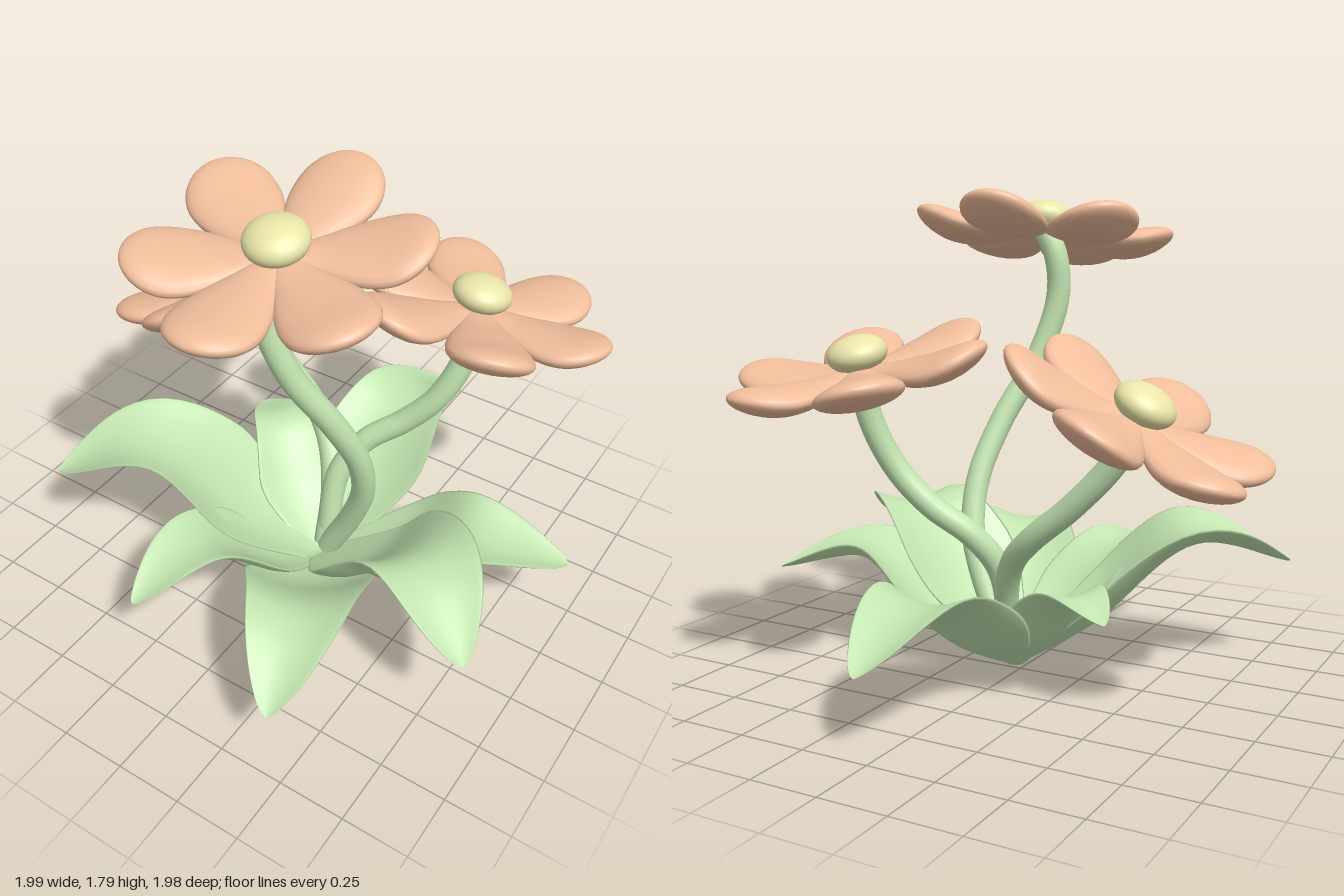
import * as THREE from 'three';

const V = (x, y, z) => new THREE.Vector3(x, y, z);
const Y = V(0, 1, 0);
const green = new THREE.MeshStandardMaterial({ color: 0xc3e6b1 });
const coral = new THREE.MeshStandardMaterial({ color: 0xf0bd9b });
const yellow = new THREE.MeshStandardMaterial({ color: 0xe9e6a9 });

// Closed blade swept along a spine: lens-shaped sections of a given half width and thickness
function blade(points, width, thick, curl, rows = 36, ring = 24) {
  const curve = new THREE.CatmullRomCurve3(points);
  const pos = [], index = [];
  for (let i = 0; i <= rows; i++) {
    const t = Math.sin((i / rows) * Math.PI / 2); // denser rows near the tip
    const p = curve.getPointAt(t), d = curve.getTangentAt(t);
    const side = Y.clone().cross(d).normalize();
    const up = d.clone().cross(side);
    const w = width(t), h = thick(t);
    for (let j = 0; j < ring; j++) {
      const a = (j / ring) * Math.PI * 2, s = Math.cos(a);
      const q = p.clone().addScaledVector(side, w * s)
        .addScaledVector(up, h * Math.sin(a) + curl * w * s * s);
      pos.push(q.x, q.y, q.z);
      if (i < rows) {
        const k = (j + 1) % ring, r = i * ring, n = r + ring;
        index.push(r + j, r + k, n + j, r + k, n + k, n + j);
      }
    }
  }
  const g = new THREE.BufferGeometry();
  g.setAttribute('position', new THREE.Float32BufferAttribute(pos, 3));
  g.setIndex(index);
  g.computeVertexNormals();
  return g;
}

function addMesh(parent, name, geometry, material) {
  const m = new THREE.Mesh(geometry, material);
  m.name = name;
  parent.add(m);
  return m;
}

// Rounded petal outline, widest at two thirds of its length
function petalShape(t) {
  if (t > 0.66) return Math.sqrt(Math.max(0.0004, 1 - ((t - 0.66) / 0.34) ** 2));
  return 0.25 + 0.75 * Math.sin((t / 0.66) * Math.PI / 2) ** 1.3;
}

function makeFlower(center, normal, spin) {
  const flower = new THREE.Group();
  flower.name = 'flower';
  flower.position.copy(center);
  flower.quaternion.setFromUnitVectors(Y, normal.normalize());
  // Plump petal that sags in the middle and lifts at the tip
  const petal = blade(
    [V(0.03, 0, 0), V(0.18, -0.022, 0), V(0.34, -0.015, 0), V(0.498, 0.04, 0)],
    t => 0.156 * petalShape(t), t => 0.053 * petalShape(t), 0);
  for (let i = 0; i < 6; i++) {
    addMesh(flower, 'petal', petal, coral).rotation.y = -(spin + i * Math.PI / 3);
  }
  const dome = addMesh(flower, 'flowerCentre', new THREE.SphereGeometry(0.11, 32, 20), yellow);
  dome.scale.y = 0.6;
  dome.position.y = 0.055;
  return flower;
}

// Leaf outline: narrow root, broad middle, long taper to a rounded tip
function leafShape(t) {
  if (t < 0.45) return 0.26 + 0.74 * Math.sin((t / 0.45) * Math.PI / 2) ** 1.3;
  const u = (t - 0.45) / 0.55;
  return (1 - 0.72 * u ** 1.3) * Math.sqrt(Math.max(0.002, 1 - u ** 6));
}

export function createModel() {
  const model = new THREE.Group();
  model.name = 'floweringPlant';

  // Leaves: [mid x, mid z, mid height, tip x, tip z, tip height, half width]
  const leaves = [
    [0.04, -0.62, 0.395, 0.05, -0.99, 0.27, 0.24],
    [0.66, -0.03, 0.39, 0.99, -0.18, 0.32, 0.24],
    [0.62, 0.29, 0.515, 0.92, 0.53, 0.41, 0.26],
    [0.33, 0.64, 0.4, 0.44, 0.985, 0.3, 0.24],
    [-0.17, 0.56, 0.39, -0.23, 0.865, 0.33, 0.19],
    [-0.57, 0.31, 0.515, -0.87, 0.54, 0.41, 0.28],
    [-0.32, -0.22, 0.37, -0.5, -0.34, 0.34, 0.18],
  ];
  for (const [mx, mz, my, tx, tz, ty, w] of leaves) {
    const root = V(0.04, 0.02, 0.03), mid = V(mx, my, mz);
    const low = root.clone().lerp(mid, 0.45);
    low.y = my * 0.4;
    addMesh(model, 'leaf', blade([root, low, mid, V(tx, ty, tz)],
      t => w * leafShape(t), t => 0.018 * Math.min(1, 0.1 + 4 * (1 - t)), 0.34), green);
  }

  // Stems
  const stems = [
    [V(0.06, 0.08, 0.02), V(0.17, 0.3, 0.03), V(0.24, 0.5, 0.06), V(0.25, 0.7, 0.12),
      V(0.2, 0.92, 0.22), V(0.1, 1.16, 0.33), V(0.035, 1.4, 0.375), V(0.04, 1.56, 0.36), V(0.085, 1.66, 0.35)],
    [V(0.04, 0.08, 0.01), V(0.02, 0.3, -0.07), V(-0.05, 0.46, -0.15), V(-0.16, 0.57, -0.21),
      V(-0.33, 0.71, -0.235), V(-0.49, 0.88, -0.24), V(-0.58, 1.04, -0.25)],
    [V(0.04, 0.08, 0), V(0.05, 0.4, -0.07), V(0.12, 0.54, -0.15), V(0.25, 0.65, -0.22),
      V(0.36, 0.78, -0.27), V(0.43, 0.96, -0.33), V(0.45, 1.17, -0.38)],
  ];
  for (const points of stems) {
    const path = new THREE.CatmullRomCurve3(points);
    addMesh(model, 'stem', new THREE.TubeGeometry(path, 48, 0.046, 16), green);
  }

  // Flower heads
  model.add(
    makeFlower(V(0.085, 1.645, 0.355), V(0, 0.98, 0.195), Math.PI / 6),
    makeFlower(V(-0.57, 1.03, -0.245), V(-0.48, 0.88, 0.01), Math.PI / 6 - 0.06),
    makeFlower(V(0.44, 1.16, -0.38), V(0.1, 0.97, -0.21), -0.06));
  return model;
}
